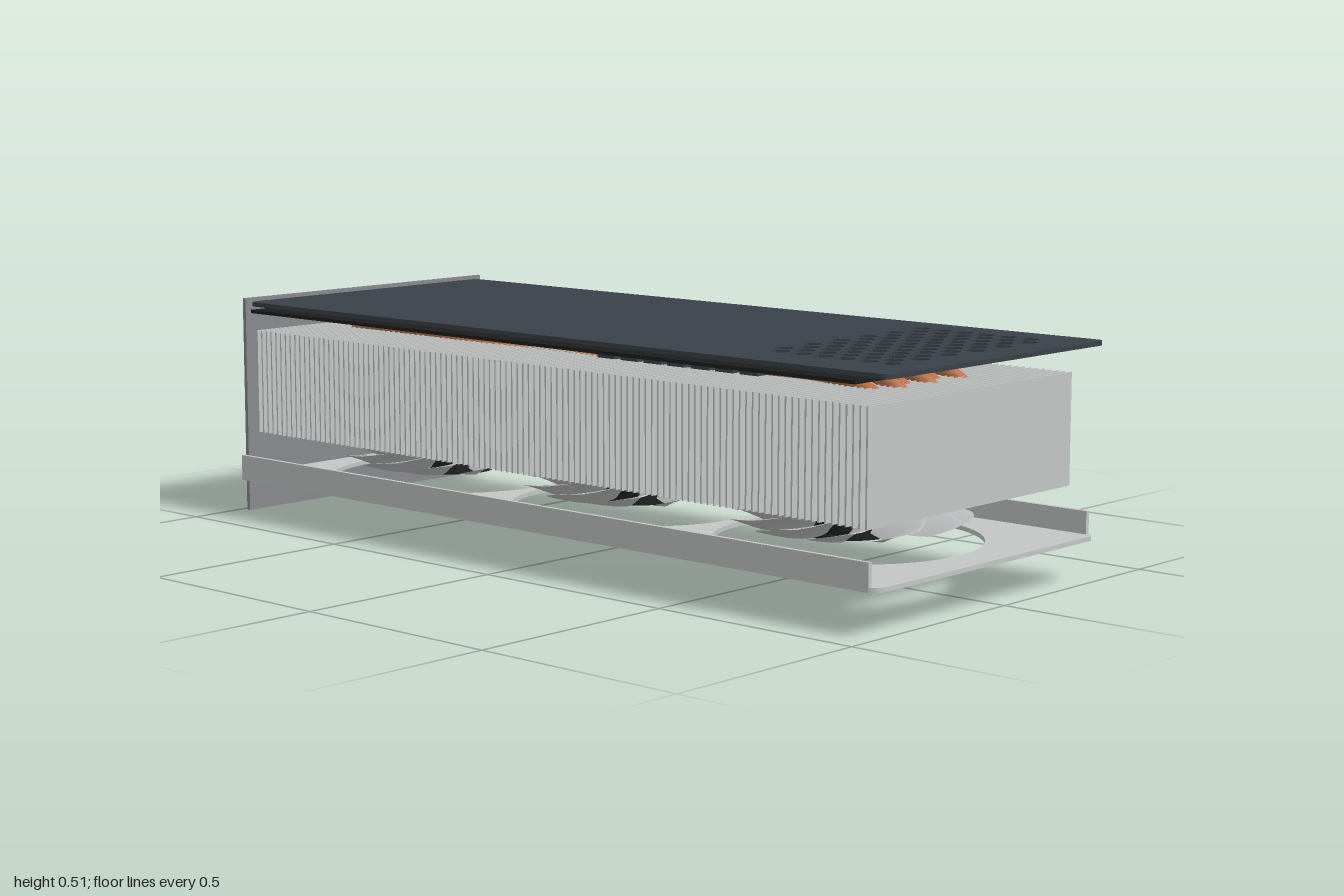
import * as THREE from 'three';

const mat = (name, color, side = THREE.FrontSide) => {
  const m = new THREE.MeshStandardMaterial({ color, side });
  m.name = name;
  return m;
};

export function createModel() {
  const slate = mat('slate', 0x3a4148);
  const black = mat('black', 0x1c1d1e);
  const steel = mat('steel', 0x88898d);
  const silver = mat('silver', 0xc4c5c5);
  const bladeGrey = mat('bladeGrey', 0xc2c3c4, THREE.DoubleSide);
  const copper = mat('copper', 0xb87148);
  const gold = mat('gold', 0xbd963f);
  const charcoal = mat('charcoal', 0x4a4b4d);

  const model = new THREE.Group();
  model.name = 'graphicsCard';
  const add = (name, geo, material, parent = model) => {
    const mesh = new THREE.Mesh(geo, material);
    mesh.name = name;
    parent.add(mesh);
    return mesh;
  };
  const group = (name) => {
    const g = new THREE.Group();
    g.name = name;
    model.add(g);
    return g;
  };
  // box given by its limits on each axis
  const box = (name, [x0, x1], [y0, y1], [z0, z1], material, parent) => {
    const m = add(name, new THREE.BoxGeometry(x1 - x0, y1 - y0, z1 - z0), material, parent);
    m.position.set((x0 + x1) / 2, (y0 + y1) / 2, (z0 + z1) / 2);
    return m;
  };
  // rounded rectangle in x and z
  const plateShape = (x0, x1, z0, z1, r) => {
    const s = new THREE.Shape();
    s.absarc(x1 - r, z1 - r, r, 0, Math.PI / 2);
    s.absarc(x0 + r, z1 - r, r, Math.PI / 2, Math.PI);
    s.absarc(x0 + r, z0 + r, r, Math.PI, Math.PI * 1.5);
    s.absarc(x1 - r, z0 + r, r, Math.PI * 1.5, Math.PI * 2);
    return s;
  };
  // lay a flat shape down with its upper face at yTop
  const slab = (shape, yTop, depth) =>
    new THREE.ExtrudeGeometry(shape, { depth, bevelEnabled: false, curveSegments: 24 })
      .rotateX(Math.PI / 2).translate(0, yTop, 0);

  // backplate with a field of hexagonal vents
  const back = plateShape(-0.91, 1, -0.347, 0.397, 0.02);
  for (let row = 0; row < 12; row++) {
    for (let col = 0; col < 6; col++) {
      const cx = 0.587 + col * 0.057 + (row % 2) * 0.0285;
      const cz = -0.25 + row * 0.0465;
      const hex = new THREE.Path();
      for (let k = 0; k < 6; k++) {
        const a = Math.PI / 6 - k * Math.PI / 3;
        const x = cx + 0.0235 * Math.cos(a), z = cz + 0.0235 * Math.sin(a);
        k ? hex.lineTo(x, z) : hex.moveTo(x, z);
      }
      hex.closePath();
      back.holes.push(hex);
    }
  }
  add('backplate', slab(back, 0.515, 0.01), slate);

  // circuit board with edge contacts
  box('circuitBoard', [-0.965, 0.88], [0.48, 0.488], [-0.373, 0.347], black);
  box('edgeContacts', [-0.71, -0.13], [0.478, 0.49], [-0.375, -0.353], gold);

  // parts under the board
  const chips = group('boardParts');
  for (let i = 0; i < 7; i++) {
    const x = 0.043 + i * 0.0685;
    box('powerCoil', [x, x + 0.05], [0.447, 0.48], [0.16, 0.2], slate, chips);
    box('powerCoil', [x, x + 0.05], [0.447, 0.48], [-0.143, -0.118], slate, chips);
  }
  box('processor', [-0.3, -0.1], [0.468, 0.48], [-0.1, 0.1], slate, chips);
  for (const x of [-0.48, -0.02]) {
    for (const z of [-0.2, 0.1]) {
      box('memoryChip', [x, x + 0.1], [0.47, 0.48], [z, z + 0.1], black, chips);
    }
  }

  // mounting bracket with four ports
  box('bracket', [-0.985, -0.975], [0, 0.515], [-0.425, 0.355], steel);
  const ports = group('ports');
  for (const z of [-0.332, -0.198, -0.057, 0.09]) {
    box('port', [-1, -0.972], [0.454, 0.488], [z, z + 0.105], black, ports);
  }

  // stack of cooling fins
  const fins = group('coolingFins');
  const finGeo = new THREE.BoxGeometry(0.004, 0.245, 0.695);
  const finCount = 108;
  for (let i = 0; i < finCount; i++) {
    add('fin', finGeo, silver, fins)
      .position.set(-0.91 + i * 1.843 / (finCount - 1), 0.3225, 0.0275);
  }

  // heat pipes, alternating a low and a high run
  const pipes = group('heatPipes');
  const pipeRun = [[-0.885, 0.24], [-0.865, 0.37], [-0.8, 0.436], [-0.62, 0.451], [-0.2, 0.428],
    [0.15, 0.437], [0.48, 0.461], [0.74, 0.445], [0.85, 0.375], [0.885, 0.24]];
  [0.155, 0.102, 0.05, 0, -0.053, -0.105].forEach((z, i) => {
    const lift = i % 2 ? 0.017 : 0;
    const path = new THREE.CatmullRomCurve3(
      pipeRun.map(([x, y]) => new THREE.Vector3(x, y > 0.3 ? y + lift : y, z)));
    add('heatPipe', new THREE.TubeGeometry(path, 72, 0.017, 12), copper, pipes);
    for (const end of [0, 1]) {
      add('pipeEnd', new THREE.SphereGeometry(0.017, 12, 8), copper, pipes)
        .position.copy(path.getPoint(end));
    }
  });

  // fan shroud: tray with three openings and two long lips
  const fanX = [-0.58, 0.025, 0.63], fanZ = 0.05;
  const tray = plateShape(-0.935, 1, -0.33, 0.425, 0.03);
  for (const x of fanX) {
    const hole = new THREE.Path();
    hole.absarc(x, fanZ, 0.288, 0, Math.PI * 2, true);
    tray.holes.push(hole);
  }
  add('shroudPlate', slab(tray, 0.1, 0.01), silver);
  box('shroudFrontLip', [-0.915, 0.98], [0.09, 0.15], [0.415, 0.425], silver);
  box('shroudBackLip', [-0.915, 0.98], [0.092, 0.15], [-0.33, -0.32], silver);
  // dashed trim on the underside
  const trim = group('shroudTrim');
  for (let i = 0; i < 18; i++) {
    const x = -0.39 + i * 0.055;
    box('trimDash', [x, x + 0.042], [0.087, 0.091], [0.38, 0.395], charcoal, trim);
  }

  // fan blade: a swept, twisted sheet tapering at the tip
  const bladeGeo = new THREE.PlaneGeometry(1, 1, 10, 6);
  const p = bladeGeo.attributes.position;
  for (let i = 0; i < p.count; i++) {
    const u = p.getX(i) + 0.5, v = p.getY(i);
    const r = 0.08 + 0.185 * u - 0.03 * u * v * v * 4;
    const span = 0.62 - 0.12 * u * u;
    const a = v * span + 0.45 * u * u;
    const rise = 0.05 * Math.sin(Math.PI * (0.3 + 0.6 * u)) + 0.004;
    p.setXYZ(i, r * Math.cos(a), 0.146 - v * rise + 0.006 * (1 - 4 * v * v), r * Math.sin(a));
  }
  bladeGeo.computeVertexNormals();

  for (const x of fanX) {
    const fan = group('fan');
    fan.position.set(x, 0, fanZ);
    const blades = 11;
    for (let i = 0; i < blades; i++) {
      add('fanBlade', bladeGeo, bladeGrey, fan).rotation.y = i * Math.PI * 2 / blades;
    }
    add('fanHub', new THREE.CylinderGeometry(0.083, 0.083, 0.052, 40), black, fan).position.y = 0.144;
    add('hubRim', new THREE.CylinderGeometry(0.1, 0.1, 0.008, 40), black, fan).position.y = 0.116;
    add('hubCap', new THREE.CylinderGeometry(0.077, 0.077, 0.006, 40), charcoal, fan).position.y = 0.112;
  }

  return model;
}
